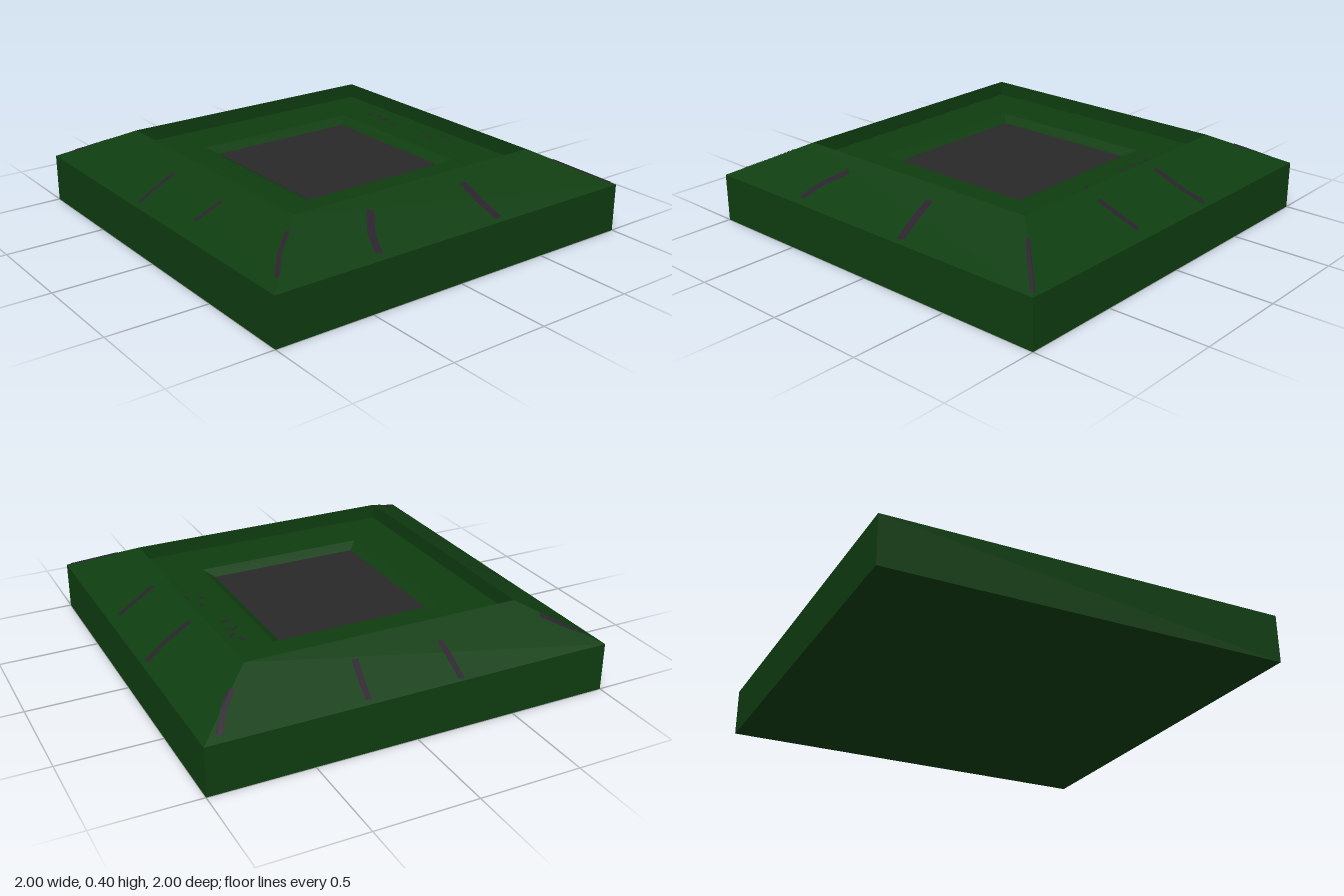
import * as THREE from 'three';

const RIM = 0.69, RIM_Y = 0.4, EDGE_Y = 0.24, FLOOR_Y = 0.325, PANEL = 0.39, PANEL_Y = 0.295;

const green = new THREE.MeshStandardMaterial({ color: 0x0f3d10 });
green.name = 'dark green';
const charcoal = new THREE.MeshStandardMaterial({ color: 0x282828 });
charcoal.name = 'charcoal';
const plum = new THREE.MeshStandardMaterial({ color: 0x2a212d });
plum.name = 'plum grey';

// Square frustum rings from a profile of [half width, height]
function squareLathe(profile) {
  const points = profile.map(([h, y]) => new THREE.Vector2(h * Math.SQRT2, y));
  const geo = new THREE.LatheGeometry(points, 4, Math.PI / 4).toNonIndexed();
  geo.computeVertexNormals();
  return geo;
}

// Height of the top surface, for laying painted marks on it
function surfaceY(x, z) {
  const d = Math.max(Math.abs(x), Math.abs(z));
  return d < RIM ? FLOOR_Y : RIM_Y - (d - RIM) * (RIM_Y - EDGE_Y) / (1 - RIM);
}

// Thin painted streak along a path of [x, z], with a centre line so it folds over hips
function streak(path, width) {
  const pos = [], idx = [];
  path.forEach(([x, z], i) => {
    const a = path[Math.max(i - 1, 0)], b = path[Math.min(i + 1, path.length - 1)];
    const dx = b[0] - a[0], dz = b[1] - a[1], len = Math.hypot(dx, dz);
    for (const s of [-0.5, 0, 0.5]) {
      const px = x - dz / len * width * s, pz = z + dx / len * width * s;
      pos.push(px, surfaceY(px, pz) + 0.003, pz);
    }
    if (i > 0) {
      for (const k of [0, 1]) {
        const p = (i - 1) * 3 + k, q = i * 3 + k;
        idx.push(p, p + 1, q, q, p + 1, q + 1);
      }
    }
  });
  const geo = new THREE.BufferGeometry();
  geo.setAttribute('position', new THREE.Float32BufferAttribute(pos, 3));
  geo.setIndex(idx);
  geo.computeVertexNormals();
  return geo;
}

export function createModel() {
  const model = new THREE.Group();
  model.name = 'squareTile';
  const add = (name, geo, mat) => {
    const mesh = new THREE.Mesh(geo, mat);
    mesh.name = name;
    model.add(mesh);
    return mesh;
  };

  // Base, sloped rim, sunken floor and bevel down to the panel
  add('body', squareLathe([
    [0, 0], [1, 0], [1, EDGE_Y], [RIM, RIM_Y], [RIM, FLOOR_Y], [0.44, FLOOR_Y], [PANEL, PANEL_Y],
  ]), green);

  // Centre panel
  const panel = add('centrePanel', new THREE.PlaneGeometry(PANEL * 2, PANEL * 2), charcoal);
  panel.rotation.x = -Math.PI / 2;
  panel.position.y = PANEL_Y;

  // Streaks on the sloped rim: width, then path
  const streaks = [
    [0.03, [[-0.22, -0.99], [-0.22, -0.8]]],
    [0.03, [[0.24, -0.98], [0.23, -0.9], [0.21, -0.79]]],
    [0.03, [[0.92, -0.97], [0.86, -0.87], [0.79, -0.79]]],
    [0.025, [[-0.93, -0.92], [-0.85, -0.86], [-0.77, -0.79]]],
    [0.03, [[0.98, -0.24], [0.88, -0.2], [0.74, -0.18]]],
    [0.028, [[0.95, 0.24], [0.86, 0.26], [0.76, 0.28]]],
    [0.035, [[-0.45, 0.97], [-0.42, 0.88], [-0.34, 0.77]]],
    [0.04, [[0.2, 0.77], [0.21, 0.88], [0.23, 0.98]]],
    [0.022, [[-0.98, -0.145], [-0.88, -0.15], [-0.78, -0.15]]],
    [0.022, [[-0.92, 0.26], [-0.79, 0.28]]],
    [0.02, [[-0.94, 0.93], [-0.85, 0.82], [-0.76, 0.75]]],
    [0.02, [[0.78, 0.78], [0.88, 0.88], [0.98, 0.98]]],
  ];
  streaks.forEach(([width, path]) => add('rimStreak', streak(path, width), plum));

  // Small scratches on the sunken floor
  const scratches = [
    [[0.55, -0.38], [0.57, -0.34]], [[0.6, -0.32], [0.57, -0.29]],
    [[0.53, -0.23], [0.56, -0.26], [0.59, -0.23]], [[0.54, -0.16], [0.58, -0.16]],
    [[0.6, 0.04], [0.59, 0.06]], [[0.56, 0.11], [0.58, 0.14]], [[0.63, 0.14], [0.64, 0.18]],
  ];
  scratches.forEach((path) => add('floorScratch', streak(path, 0.014), plum));

  return model;
}
